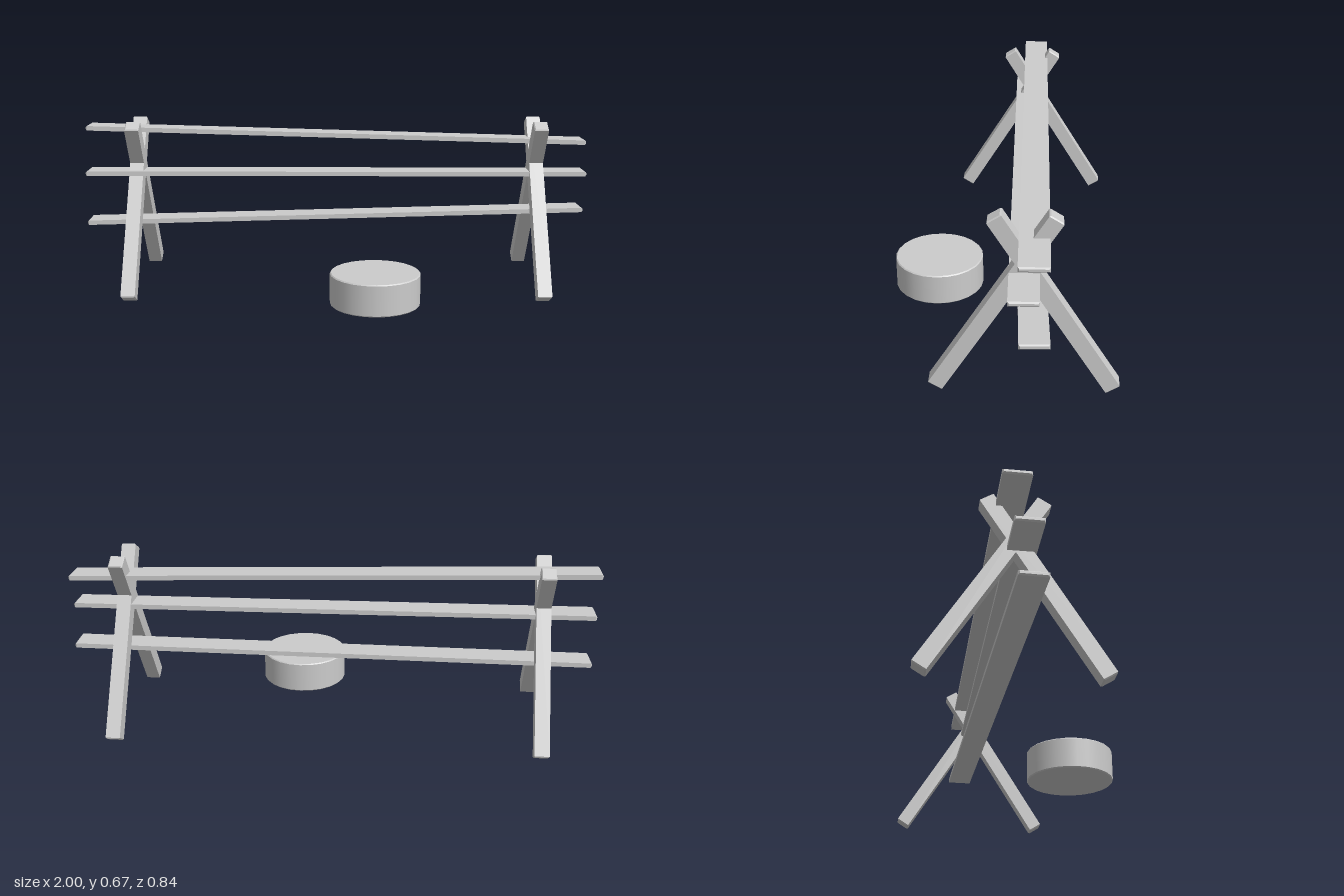
import * as THREE from 'three';

const flat = new THREE.MeshStandardMaterial({ color: 0xcccccc, flatShading: true });
const smooth = new THREE.MeshStandardMaterial({ color: 0xcccccc });

// Chamfered beam of section w (x) by h (y), running along z from one point to another
function beam(name, from, to, w, h, bevel) {
  const a = new THREE.Vector3(...from), b = new THREE.Vector3(...to);
  const length = a.distanceTo(b);
  const x = w / 2 - bevel, y = h / 2 - bevel;
  const shape = new THREE.Shape([
    new THREE.Vector2(-x, -y), new THREE.Vector2(x, -y),
    new THREE.Vector2(x, y), new THREE.Vector2(-x, y),
  ]);
  const geometry = new THREE.ExtrudeGeometry(shape, {
    depth: length - 2 * bevel, bevelEnabled: true,
    bevelSize: bevel, bevelThickness: bevel, bevelSegments: 1,
  });
  geometry.translate(0, 0, bevel - length / 2);
  const mesh = new THREE.Mesh(geometry, flat);
  mesh.name = name;
  mesh.position.copy(a).lerp(b, 0.5);
  mesh.lookAt(b);
  return mesh;
}

export function createModel() {
  const group = new THREE.Group();
  group.name = 'plankRack';

  // Crossed legs at each end, mirrored about z = -0.1
  for (const side of [1, -1]) {
    const frame = new THREE.Group();
    frame.name = side > 0 ? 'leftTrestle' : 'rightTrestle';
    for (const dir of [1, -1]) {
      frame.add(beam(dir > 0 ? 'frontLeg' : 'backLeg',
        [side * 0.8, 0.015, -0.1 + dir * 0.302],
        [side * 0.8, 0.66, -0.1 - dir * 0.1], 0.055, 0.055, 0.004));
    }
    group.add(frame);
  }

  // Three slightly crooked planks: [y, z] at the right end, then the left end
  const planks = [
    ['topPlank', 0.64, -0.116, 0.58, -0.131],
    ['middlePlank', 0.463, -0.077, 0.458, -0.1],
    ['bottomPlank', 0.265, -0.066, 0.303, -0.135],
  ];
  for (const [name, y0, z0, y1, z1] of planks) {
    group.add(beam(name, [-1, y0, z0], [1, y1, z1], 0.1, 0.018, 0.005));
  }

  // Round block with a small chamfer; doubled profile points keep the edges crisp
  const r = 0.172, h = 0.123, c = 0.004;
  const corners = [[0, 0], [r - c, 0], [r, c], [r, h - c], [r - c, h], [0, h]];
  const profile = corners.flatMap(([px, py], i) => {
    const p = new THREE.Vector2(px, py);
    return i > 0 && i < corners.length - 1 ? [p, p.clone()] : [p];
  });
  const geometry = new THREE.LatheGeometry(profile, 24);
  // Each band takes its own slope normals so caps stay flat and the wall round
  const pos = geometry.attributes.position, normal = geometry.attributes.normal;
  const n = profile.length;
  for (let i = 0; i < pos.count; i++) {
    const k = Math.floor((i % n) / 2);
    const [ax, ay] = corners[k], [bx, by] = corners[k + 1];
    const len = Math.hypot(bx - ax, by - ay);
    const out = (by - ay) / len, up = (ax - bx) / len;
    const angle = Math.floor(i / n) / 24 * Math.PI * 2;
    normal.setXYZ(i, out * Math.sin(angle), up, out * Math.cos(angle));
  }
  const block = new THREE.Mesh(geometry, smooth);
  block.name = 'roundBlock';
  block.position.set(0.147, 0.015, 0.247);
  group.add(block);

  return group;
}
